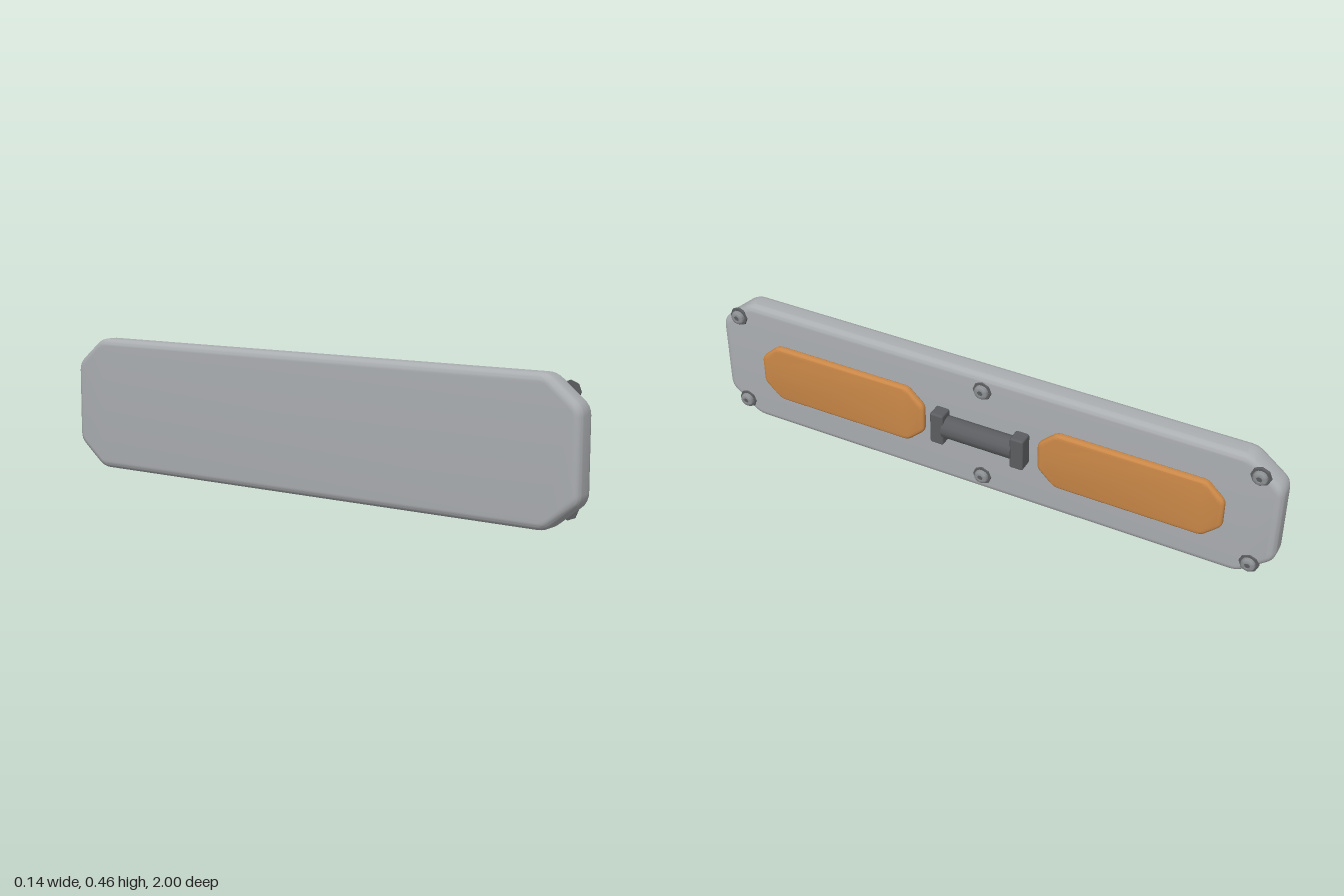
import * as THREE from 'three';
import { toCreasedNormals } from 'three/addons/utils/BufferGeometryUtils.js';
import { RoundedBoxGeometry } from 'three/addons/geometries/RoundedBoxGeometry.js';

const MID_Y = 0.231;

// Rounded slab with clipped corners, lying in the yz plane between x0 and x1
function slab(length, height, cutZ, cutY, x0, x1, bevel) {
  const a = length / 2 - bevel, b = height / 2 - bevel;
  const cz = cutZ - bevel * 0.586, cy = cutY - bevel * 0.586;
  const pts = [
    [a, -b + cy], [a, b - cy], [a - cz, b], [-a + cz, b],
    [-a, b - cy], [-a, -b + cy], [-a + cz, -b], [a - cz, -b],
  ].map(([x, y]) => new THREE.Vector2(x, y));
  // Each corner is softened by a short curve
  const soft = Math.min(cz, cy) * 0.22;
  const shape = new THREE.Shape();
  pts.forEach((p, i) => {
    const prev = pts[(i + 7) % 8], next = pts[(i + 1) % 8];
    const s = p.clone().add(prev.clone().sub(p).setLength(soft));
    const e = p.clone().add(next.clone().sub(p).setLength(soft));
    if (i === 0) shape.moveTo(s.x, s.y); else shape.lineTo(s.x, s.y);
    shape.quadraticCurveTo(p.x, p.y, e.x, e.y);
  });
  shape.closePath();
  const geo = new THREE.ExtrudeGeometry(shape, {
    depth: x1 - x0 - 2 * bevel, bevelThickness: bevel, bevelSize: bevel,
    bevelSegments: 6, curveSegments: 4,
  });
  geo.translate(0, 0, x0 + bevel).rotateY(Math.PI / 2);
  return toCreasedNormals(geo, 0.5);
}

export function createModel() {
  const model = new THREE.Group();
  const material = (name, color) => {
    const m = new THREE.MeshStandardMaterial({ color });
    m.name = name;
    return m;
  };
  const plateGrey = material('plateGrey', 0xabaeb1);
  const padOrange = material('padOrange', 0xc98747);
  const darkGrey = material('darkGrey', 0x5b5d60);
  const boltGrey = material('boltGrey', 0x8c8f92);

  const add = (parent, name, geo, mat, x = 0, y = 0, z = 0) => {
    const mesh = new THREE.Mesh(geo, mat);
    mesh.name = name;
    mesh.position.set(x, y, z);
    parent.add(mesh);
    return mesh;
  };

  // Backing plate
  add(model, 'plate', slab(2, 0.46, 0.11, 0.092, -0.07, 0.015, 0.024), plateGrey, 0, 0.23, 0);

  // Two pads
  const padGeo = slab(0.626, 0.214, 0.062, 0.058, 0.012, 0.04, 0.0135);
  for (const s of [1, -1]) add(model, 'pad', padGeo, padOrange, 0, MID_Y, s * 0.518);

  // Handle: round bar between two blocks
  const handle = new THREE.Group();
  handle.name = 'handle';
  model.add(handle);
  const bar = new THREE.CylinderGeometry(0.039, 0.039, 0.25, 12);
  bar.rotateX(Math.PI / 2).rotateZ(Math.PI / 2);
  add(handle, 'handleBar', bar, darkGrey, 0.031, MID_Y, 0);
  const block = new RoundedBoxGeometry(0.058, 0.117, 0.048, 2, 0.007);
  for (const s of [1, -1]) add(handle, 'handleBlock', block, darkGrey, 0.034, MID_Y, s * 0.144);

  // Bolts: octagonal washer, domed head, recessed socket
  const washer = new THREE.CylinderGeometry(0.032, 0.034, 0.008, 8);
  washer.rotateZ(-Math.PI / 2);
  const washerGeo = toCreasedNormals(washer, 0.5);
  const head = new THREE.LatheGeometry([
    [0.024, 0], [0.024, 0.007], [0.022, 0.012], [0.018, 0.0145], [0.01, 0.0155], [0.01, 0.012], [0, 0.012],
  ].map(([r, h]) => new THREE.Vector2(r, h)), 16);
  head.rotateZ(-Math.PI / 2);
  const headGeo = toCreasedNormals(head, 0.7);
  const socket = new THREE.CircleGeometry(0.01, 6);
  socket.rotateY(Math.PI / 2);
  for (const z of [-0.925, 0, 0.925]) {
    for (const y of [0.06, 0.404]) {
      const bolt = new THREE.Group();
      bolt.name = 'bolt';
      bolt.position.set(0.0185, y, z);
      model.add(bolt);
      add(bolt, 'washer', washerGeo, darkGrey, -0.003);
      add(bolt, 'boltHead', headGeo, boltGrey);
      add(bolt, 'boltSocket', socket, darkGrey, 0.0125);
    }
  }
  return model;
}
